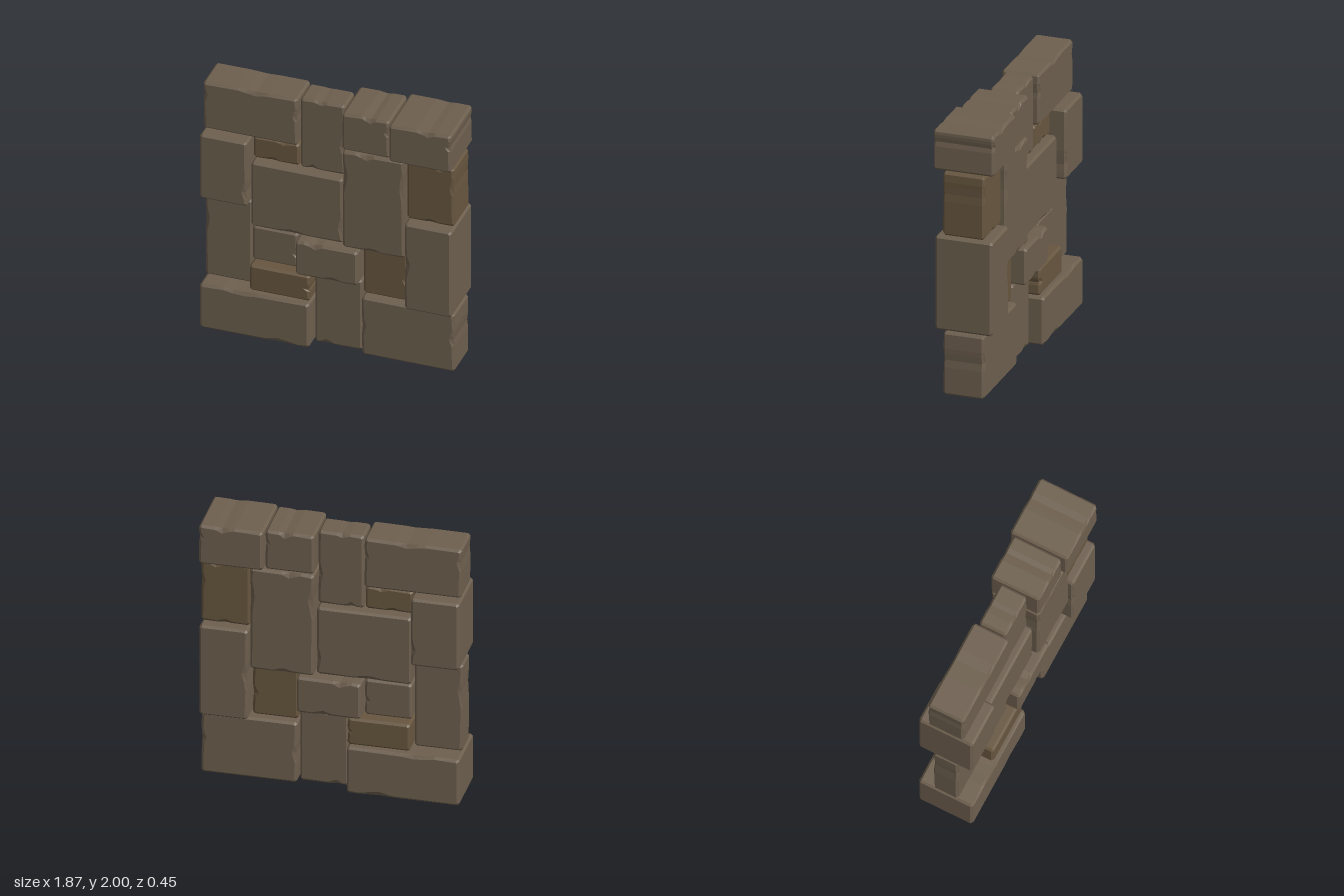
import * as THREE from 'three';

const stone = new THREE.MeshStandardMaterial({ color: 0x6d5f4e, flatShading: true });
const warmStone = new THREE.MeshStandardMaterial({ color: 0x67563f, flatShading: true });

const GAP = 0.005, BEVEL = 0.016;

function seeded(seed) {
  let s = seed * 7919 + 17;
  return () => (s = (s * 16807) % 2147483647) / 2147483647;
}

// Left, right, bottom, top, half depth, chipped edges (T, B, L, R), warm tint
const blocks = [
  // top course
  [-0.94, -0.23, 1.61, 2.0, 0.14, 'TRL'],
  [-0.23, 0.11, 1.42, 2.0, 0.105, 'TRB'],
  [0.11, 0.47, 1.69, 2.0, 0.19, 'TR'],
  [0.47, 0.94, 1.69, 2.0, 0.225, 'TR'],
  // upper middle
  [-0.94, -0.58, 1.07, 1.61, 0.212, 'R'],
  [-0.58, -0.23, 1.42, 1.61, 0.1, 'TB', true],
  [-0.58, 0.11, 0.88, 1.42, 0.15, 'BR'],
  [0.11, 0.58, 0.88, 1.69, 0.188, 'TLRB'],
  [0.58, 0.94, 1.2, 1.69, 0.155, 'TRB', true],
  // lower middle
  [-0.94, -0.58, 0.37, 1.07, 0.097, 'L'],
  [-0.58, -0.23, 0.59, 0.88, 0.125, 'R'],
  [-0.23, 0.24, 0.59, 0.88, 0.212, 'TB'],
  [0.24, 0.58, 0.48, 0.88, 0.11, 'R', true],
  [0.58, 0.94, 0.48, 1.2, 0.212, 'L'],
  [-0.58, -0.12, 0.37, 0.59, 0.188, 'R', true],
  // bottom course
  [-0.94, -0.12, 0.0, 0.37, 0.212, 'BT'],
  [-0.12, 0.24, 0.0, 0.59, 0.11, 'TB'],
  [0.24, 0.94, 0.0, 0.48, 0.152, 'LR'],
];

// Bevelled outline pairs: rim runs round the sides, face is the inset cap edge
function outlines(w, h, chips, rand) {
  const rim = [], face = [];
  const edges = [
    ['B', [0, -1], [1, 0], w, h], ['R', [1, 0], [0, 1], h, w],
    ['T', [0, 1], [-1, 0], w, h], ['L', [-1, 0], [0, -1], h, w],
  ];
  for (const [name, n, d, half, out] of edges) {
    const run = half - BEVEL;
    const add = (list, along, off) =>
      list.push([n[0] * off + d[0] * along, n[1] * off + d[1] * along]);
    const chipped = chips.includes(name);
    // a chip is a short run of points dented into the edge
    const at = rand() * 1.1 - 0.65;
    const stops = chipped ? [[-1, 0], [at - 0.25, 0.2], [at, 1], [at + 0.22, 0.45], [at + 0.4, 0], [1, 0.25]] : [[-1, 0], [1, 0]];
    for (const [t, amount] of stops) {
      const along = THREE.MathUtils.clamp(t, -1, 1) * run;
      const dent = amount * (0.016 + 0.014 * rand());
      add(rim, along, out - dent * 0.3);
      add(face, along * (run - 0.008) / run, out - BEVEL - dent);
    }
  }
  return [rim, face];
}

function blockGeometry(w, h, depth, chips, seed) {
  const [rim, face] = outlines(w, h, chips, seeded(seed));
  const n = rim.length, pos = [], index = [];
  const rings = [[face, -depth], [rim, BEVEL - depth], [rim, depth - BEVEL], [face, depth]];
  for (const [loop, z] of rings) for (const [x, y] of loop) pos.push(x, y, z);
  pos.push(0, 0, -depth, 0, 0, depth);
  for (let i = 0; i < n; i++) {
    const j = (i + 1) % n;
    for (let k = 0; k < 3; k++) {
      const a = k * n + i, b = k * n + j;
      index.push(a, b, b + n, a, b + n, a + n);
    }
    index.push(4 * n, j, i, 4 * n + 1, 3 * n + i, 3 * n + j);
  }
  const g = new THREE.BufferGeometry();
  g.setAttribute('position', new THREE.Float32BufferAttribute(pos, 3));
  g.setIndex(index);
  const flat = g.toNonIndexed();
  flat.computeVertexNormals();
  return flat;
}

export function createModel() {
  const wall = new THREE.Group();
  wall.name = 'stoneWall';
  blocks.forEach(([x0, x1, y0, y1, depth, chips, warm], i) => {
    // stones on the outer boundary keep their full height there
    const bottom = y0 === 0 ? 0 : y0 + GAP, top = y1 === 2 ? 2 : y1 - GAP;
    const geo = blockGeometry((x1 - x0) / 2 - GAP, (top - bottom) / 2, depth, chips, i + 1);
    const mesh = new THREE.Mesh(geo, warm ? warmStone : stone);
    mesh.name = `stoneBlock${i + 1}`;
    mesh.position.set((x0 + x1) / 2, (bottom + top) / 2, 0);
    wall.add(mesh);
  });
  return wall;
}
